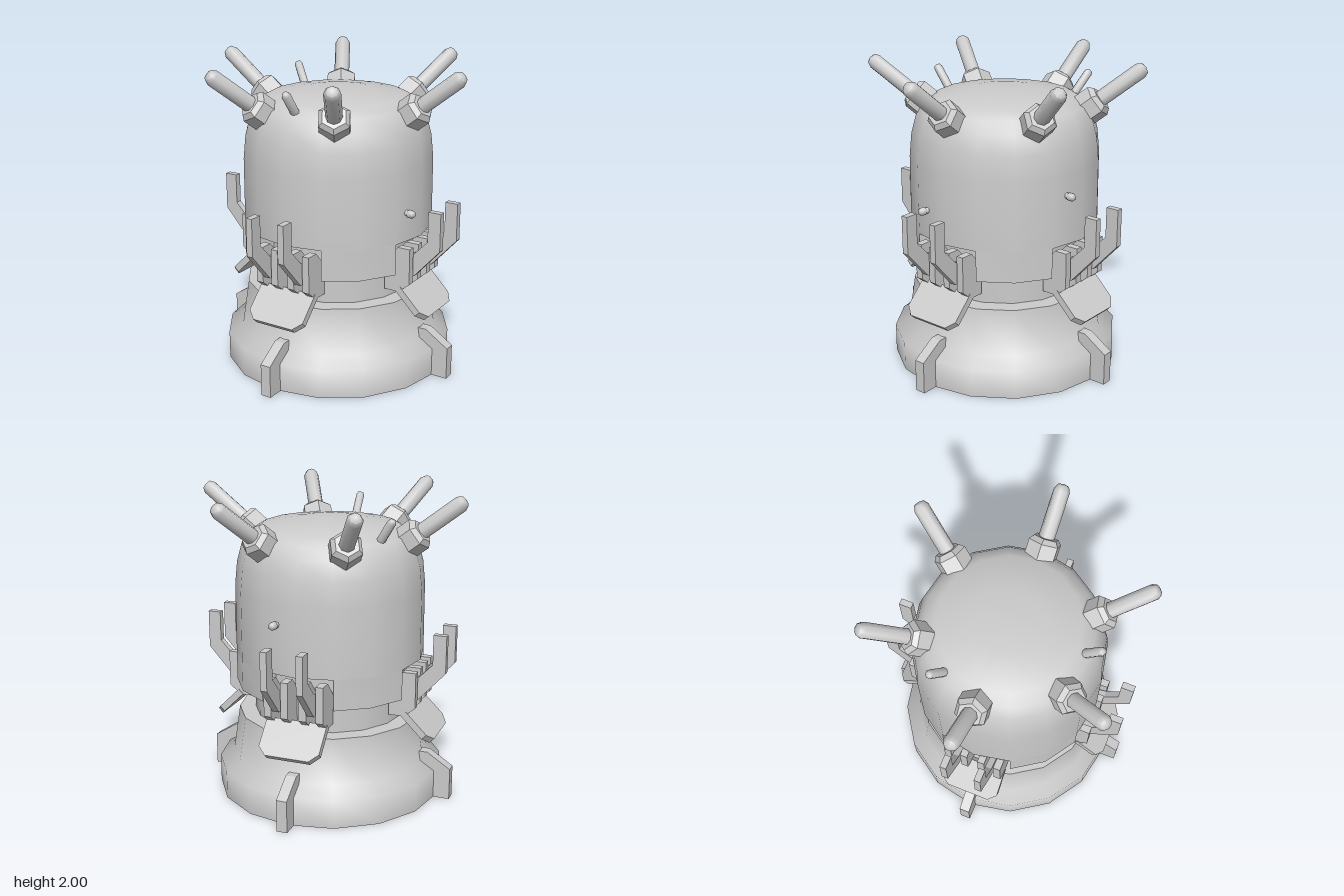
import * as THREE from 'three';
import { toCreasedNormals } from 'three/addons/utils/BufferGeometryUtils.js';

const material = new THREE.MeshStandardMaterial({ color: 0xcccccc, side: THREE.DoubleSide });
const deg = THREE.MathUtils.degToRad;
const vectors = (points) => points.map(([x, y]) => new THREE.Vector2(x, y));

function add(parent, name, geometry) {
  const mesh = new THREE.Mesh(geometry, material);
  mesh.name = name;
  parent.add(mesh);
  return mesh;
}

function lathe(points, segments, crease = 1.1) {
  return toCreasedNormals(new THREE.LatheGeometry(vectors(points), segments), crease);
}

// Side profile (x outward, y up) given a thickness centred on z
function slab(points, width) {
  const geometry = new THREE.ExtrudeGeometry(new THREE.Shape(vectors(points)), { depth: width, bevelEnabled: false });
  return geometry.translate(0, 0, -width / 2);
}

// Round rod along +y with a blunt tip
function rod(radius, length, sides) {
  return lathe([
    [0, 0], [radius, 0], [radius, length - radius * 0.6],
    [radius * 0.7, length], [0, length + radius * 0.2],
  ], sides, 0.9);
}

// Group whose +y points outward from the axis at the given turn and elevation
function spoke(parent, name, turn, radius, y, elevation) {
  const pivot = new THREE.Group();
  const group = new THREE.Group();
  pivot.name = name;
  pivot.rotation.y = deg(turn);
  group.position.set(radius, y, 0);
  group.rotation.z = deg(elevation - 90);
  pivot.add(group);
  parent.add(pivot);
  return group;
}

export function createModel() {
  const model = new THREE.Group();
  model.name = 'domedPod';

  // Open flared base with its ledge and the neck
  add(model, 'baseSkirt', lathe([
    [0.745, 0], [0.745, 0.185], [0.65, 0.245], [0.605, 0.54], [0.5, 0.54], [0.5, 0.93],
  ], 16));

  // Upper body closing into a soft dome
  add(model, 'dome', lathe([
    [0.5, 0.93], [0.617, 0.93], [0.615, 1.38], [0.6, 1.53], [0.567, 1.65],
    [0.52, 1.725], [0.44, 1.77], [0.22, 1.802], [0, 1.81],
  ], 16));

  // Four lower wall sections, leaving a notch on each side
  const corners = [22.5, 45, 67.5].map(deg);
  const arc = (r) => corners.map((a) => [r * Math.cos(a), r * Math.sin(a)]);
  const wall = new THREE.ExtrudeGeometry(
    new THREE.Shape(vectors([...arc(0.617), ...arc(0.5).reverse()])),
    { depth: 0.2, bevelEnabled: false },
  );
  const wallGeometry = toCreasedNormals(wall.rotateX(-Math.PI / 2).translate(0, 0.73, 0), 0.6);

  // Profiles for the parts repeated on each side
  const tallFin = slab([
    [0.5, 0.705], [0.645, 0.705], [0.82, 0.94], [0.82, 1.145],
    [0.735, 1.145], [0.735, 0.95], [0.645, 0.855], [0.5, 0.8],
  ].map(([x, y]) => (x === 0.82 && y === 0.94 ? [0.82, 0.9] : [x, y])), 0.043);
  const shortFin = slab([
    [0.47, 0.605], [0.57, 0.605], [0.645, 0.665], [0.645, 0.9], [0.56, 0.9], [0.47, 0.8],
  ], 0.048);
  const foot = slab([
    [0.72, 0], [0.845, 0], [0.845, 0.21], [0.69, 0.31], [0.62, 0.31], [0.64, 0.22], [0.72, 0.17],
  ], 0.07);
  const plate = slab([
    [0, -0.2], [0.2, -0.2], [0.255, -0.145], [0.255, 0.145], [0.2, 0.2], [0, 0.2],
  ], 0.045).translate(0, 0, 0.0225).rotateX(Math.PI / 2);

  for (let i = 0; i < 4; i++) {
    const side = new THREE.Group();
    side.name = 'side';
    side.rotation.y = i * Math.PI / 2;
    model.add(side);
    add(side, 'lowerWall', wallGeometry);
    add(side, 'foot', foot);
    for (const z of [-0.115, 0.115]) add(side, 'tallFin', tallFin).position.z = z;
    for (const z of [-0.172, -0.06, 0.06, 0.172]) add(side, 'shortFin', shortFin).position.z = z;
    const flap = add(side, 'slopedPlate', plate);
    flap.position.set(0.583, 0.64, 0);
    flap.rotation.z = -Math.PI / 4;
  }

  // Six spikes in hexagonal sockets around the dome
  const socket = new THREE.CylinderGeometry(0.107, 0.107, 0.1, 6, 1, false, Math.PI / 2).toNonIndexed();
  const collar = new THREE.CylinderGeometry(0.08, 0.107, 0.03, 6, 1, false, Math.PI / 2).toNonIndexed();
  socket.computeVertexNormals();
  collar.computeVertexNormals();
  const spikeRod = rod(0.051, 0.46, 8);
  for (let i = 0; i < 6; i++) {
    const spike = spoke(model, 'spike', i * 60, 0.507, 1.685, 38);
    add(spike, 'socket', socket).position.y = 0.05;
    add(spike, 'collar', collar).position.y = 0.115;
    add(spike, 'spikeRod', spikeRod);
  }

  // Two thin pins on the dome and two small knobs on the wall
  for (const turn of [-90, 150]) {
    add(spoke(model, 'pin', turn, 0.465, 1.715, 53), 'pinRod', rod(0.028, 0.2, 8));
  }
  for (const [turn, y] of [[-13.6, 1.115], [78, 1.25]]) {
    const knob = spoke(model, 'knob', turn, 0.56, y, 0);
    add(knob, 'knobStem', rod(0.02, 0.08, 8));
    add(knob, 'knobHead', rod(0.026, 0.04, 8)).position.y = 0.065;
  }

  return model;
}
